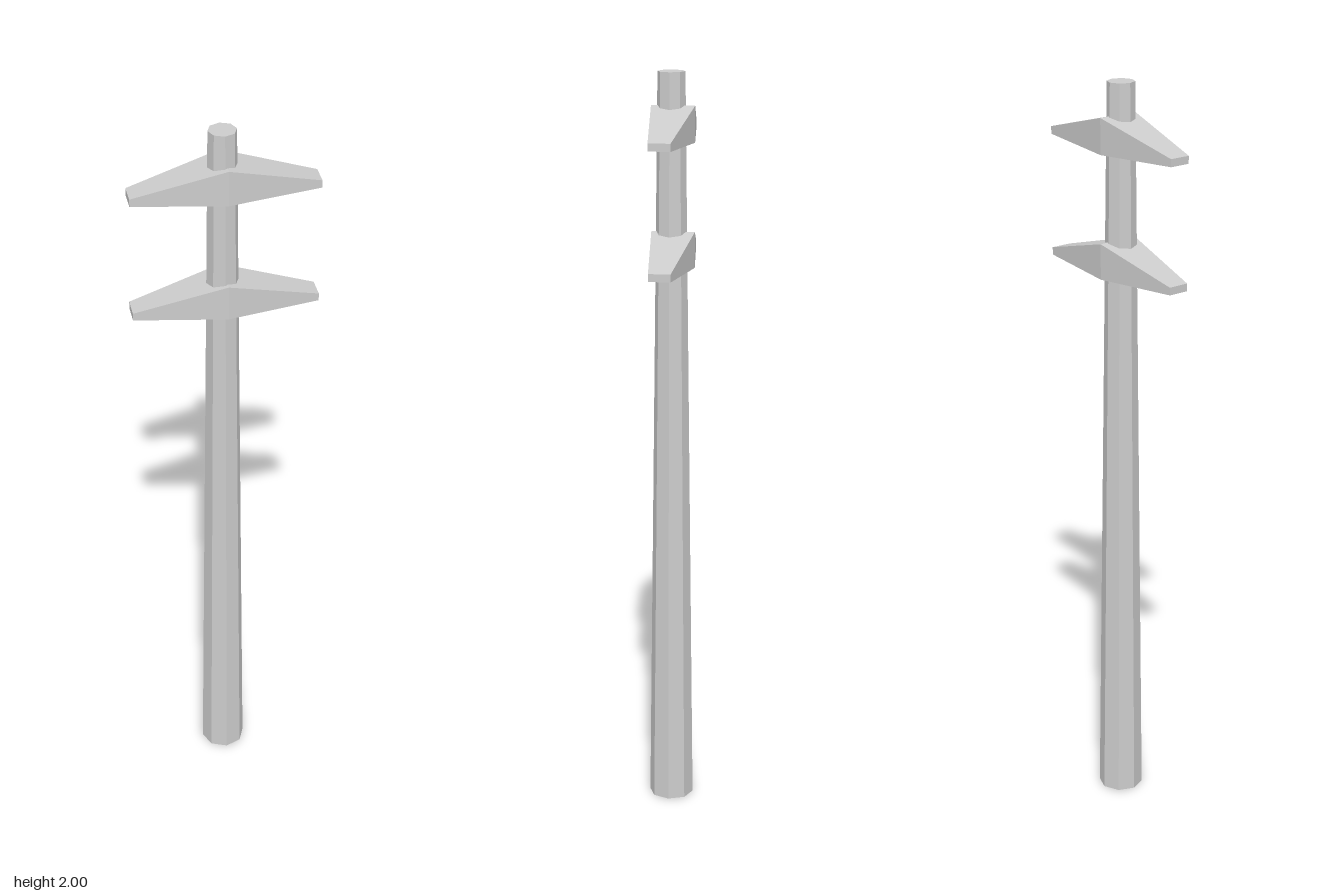
import * as THREE from 'three';

const material = new THREE.MeshStandardMaterial({ color: 0xcccccc, flatShading: true });

// Crossarm: a box split at its middle, with both ends narrowed and flattened
function createCrossarm(name, baseY) {
  const geometry = new THREE.BoxGeometry(0.476, 1, 1, 2, 1, 1);
  const p = geometry.attributes.position;
  for (let i = 0; i < p.count; i++) {
    const atEnd = Math.abs(p.getX(i)) > 0.1;
    const top = p.getY(i) > 0;
    p.setY(i, atEnd ? (top ? 0.029 : 0.009) : (top ? 0.094 : 0));
    p.setZ(i, p.getZ(i) * (atEnd ? 0.057 : 0.114));
  }
  geometry.computeVertexNormals();
  const arm = new THREE.Mesh(geometry, material);
  arm.name = name;
  arm.position.set(0, baseY, -0.005);
  return arm;
}

export function createModel() {
  const model = new THREE.Group();
  model.name = 'utilityPole';

  // Tapered eight-sided pole, set slightly off the middle of the arms
  const pole = new THREE.Mesh(new THREE.CylinderGeometry(0.036, 0.06, 2, 8), material);
  pole.name = 'pole';
  pole.position.set(-0.006, 1, 0);
  model.add(pole);

  // Two matching crossarms
  model.add(createCrossarm('lowerCrossarm', 1.495));
  model.add(createCrossarm('upperCrossarm', 1.82));
  return model;
}
